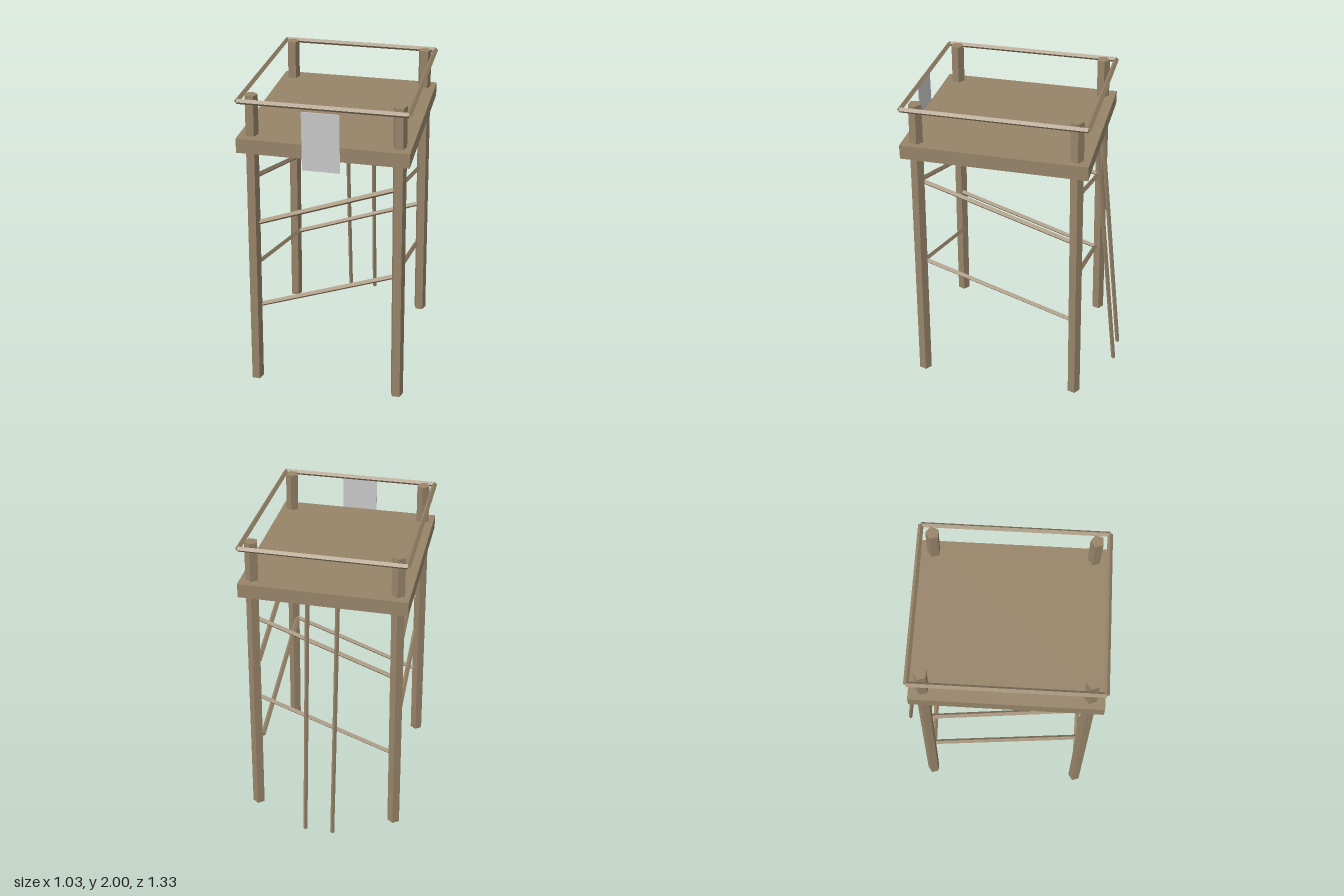
import * as THREE from 'three';

const wood = new THREE.MeshStandardMaterial({ name: 'wood', color: 0x978469, flatShading: true });
const panel = new THREE.MeshStandardMaterial({ name: 'greyPanel', color: 0xc8c8c8, flatShading: true });

const UP = new THREE.Vector3(0, 1, 0);
const BACK = new THREE.Vector3(0, 0, -1);
const V = (x, y, z) => new THREE.Vector3(x, y, z);

// Prism from a to b with one of its edges turned towards ref
function strut(name, a, b, radius, sides, ref) {
  const dir = b.clone().sub(a);
  const geo = new THREE.CylinderGeometry(radius, radius, dir.length(), sides);
  dir.normalize();
  const z = ref.clone().addScaledVector(dir, -ref.dot(dir)).normalize();
  const x = new THREE.Vector3().crossVectors(dir, z);
  const mesh = new THREE.Mesh(geo, wood);
  mesh.name = name;
  mesh.quaternion.setFromRotationMatrix(new THREE.Matrix4().makeBasis(x, dir, z));
  mesh.position.copy(a).add(b).multiplyScalar(0.5);
  return mesh;
}

function box(name, w, h, d, x, y, z, material) {
  const mesh = new THREE.Mesh(new THREE.BoxGeometry(w, h, d), material);
  mesh.name = name;
  mesh.position.set(x, y, z);
  return mesh;
}

export function createModel() {
  const tower = new THREE.Group();
  tower.name = 'watchtower';
  const midZ = 0.081;

  // Platform deck and the sign hung on its front
  tower.add(box('deck', 1.03, 0.09, 1.147, 0, 1.705, midZ + 0.001, wood));
  tower.add(box('signPanel', 0.226, 0.366, 0.006, -0.003, 1.773, 0.66, panel));

  // Five-sided legs leaning inwards
  for (const sx of [-1, 1]) {
    for (const sz of [-1, 1]) {
      tower.add(strut('leg', V(sx * 0.471, 0, midZ + sz * 0.52),
        V(sx * 0.439, 2, midZ + sz * 0.486), 0.042, 5, BACK));
    }
  }

  // Handrail around the platform
  const rx = 0.5, rz = 0.56, ry = 1.98;
  for (const s of [-1, 1]) {
    tower.add(strut('handrail', V(-rx, ry, midZ + s * rz), V(rx, ry, midZ + s * rz), 0.0165, 4, UP));
    tower.add(strut('handrail', V(s * rx, ry, midZ - rz), V(s * rx, ry, midZ + rz), 0.0165, 4, UP));
  }

  // Two sloping braces on every side, rising to +x and to +z
  const bx = 0.43, bz = 0.488;
  for (const low of [0.555, 1.155]) {
    const high = low + 0.32;
    for (const s of [-1, 1]) {
      tower.add(strut('brace', V(-bx, low, midZ + s * bz), V(bx, high, midZ + s * bz), 0.0165, 4, UP));
      tower.add(strut('brace', V(s * bx, low, midZ - bz), V(s * bx, high, midZ + bz), 0.0165, 4, UP));
    }
  }

  // Ladder poles leaning on the back
  for (const s of [-1, 1]) {
    tower.add(strut('ladderPole', V(s * 0.092, 0, -0.649), V(s * 0.092, 1.7, -0.47), 0.014, 4, BACK));
  }
  return tower;
}
